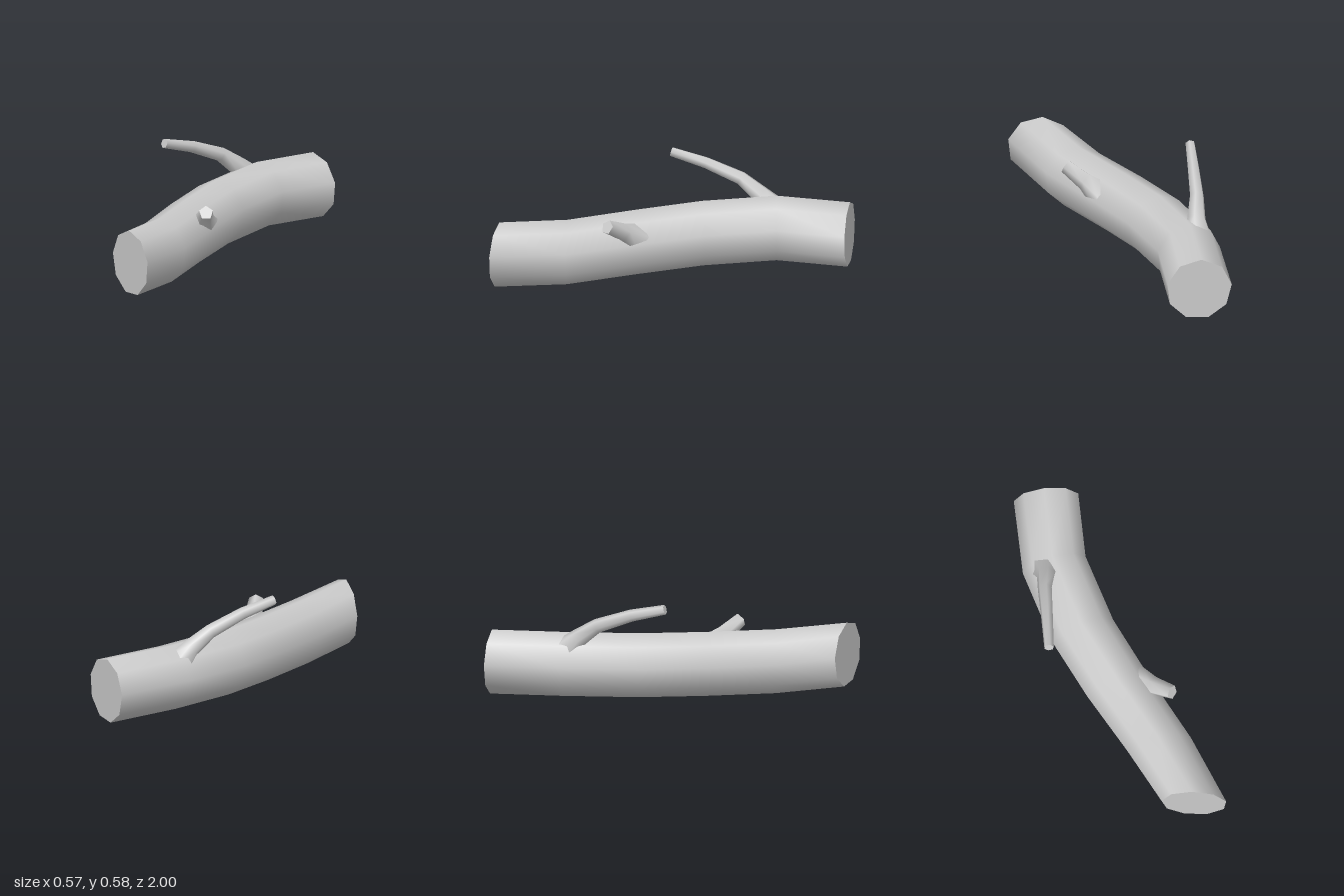
import * as THREE from 'three';

const material = new THREE.MeshStandardMaterial({ color: 0xcccccc });

// Ring of points around a centre, at right angles to a direction
function ring(centre, direction, radius, sides, turn) {
  const d = direction.clone().normalize();
  const hint = Math.abs(d.y) > 0.9 ? new THREE.Vector3(0, 0, 1) : new THREE.Vector3(0, 1, 0);
  const u = new THREE.Vector3().crossVectors(hint, d).normalize();
  const v = new THREE.Vector3().crossVectors(d, u);
  return Array.from({ length: sides }, (_, i) => {
    const a = turn + (i / sides) * Math.PI * 2;
    return centre.clone().addScaledVector(u, Math.cos(a) * radius).addScaledVector(v, Math.sin(a) * radius);
  });
}

// Smooth skin through the rings, with flat end caps that keep sharp edges
function loft(name, rings, capStart = true) {
  const n = rings[0].length;
  const points = rings.flat();
  const index = [];
  for (let r = 0; r < rings.length - 1; r++) {
    for (let i = 0; i < n; i++) {
      const a = r * n + i, b = r * n + (i + 1) % n;
      index.push(a, b, b + n, a, b + n, a + n);
    }
  }
  const addCap = (loop, flip) => {
    const s = points.length;
    points.push(...loop);
    for (let i = 1; i < n - 1; i++) index.push(s, s + (flip ? i + 1 : i), s + (flip ? i : i + 1));
  };
  if (capStart) addCap(rings[0], true);
  addCap(rings[rings.length - 1], false);
  const geometry = new THREE.BufferGeometry().setFromPoints(points);
  geometry.setIndex(index);
  geometry.computeVertexNormals();
  const mesh = new THREE.Mesh(geometry, material);
  mesh.name = name;
  return mesh;
}

// Tapering branch; each entry is x, y, z, radius
function branch(name, path, sides, turn) {
  const p = path.map(([x, y, z]) => new THREE.Vector3(x, y, z));
  return loft(name, p.map((c, i) => {
    const direction = p[Math.min(i + 1, p.length - 1)].clone().sub(p[Math.max(i - 1, 0)]);
    return ring(c, direction, path[i][3], sides, turn);
  }), false);
}

export function createModel() {
  const group = new THREE.Group();
  group.name = 'log';

  // Bent trunk, back to front: x, y, z and the sideways slope of each section
  const trunk = [
    [0.12, 0.188, -0.945, 0.34],
    [0.0, 0.203, -0.578, 0.17],
    [-0.015, 0.193, -0.185, 0.08],
    [0.027, 0.182, 0.17, 0.12],
    [0.09, 0.172, 0.55, 0.24],
    [0.121, 0.192, 0.922, 0.5],
  ];
  group.add(loft('trunk', trunk.map(([x, y, z, slope]) =>
    ring(new THREE.Vector3(x, y, z), new THREE.Vector3(-slope, 0, 1), 0.173, 9, THREE.MathUtils.degToRad(14)))));

  // Long curved branch, flared where it leaves the trunk
  group.add(branch('longBranch', [
    [-0.055, 0.27, -0.58, 0.085],
    [-0.083, 0.362, -0.505, 0.05],
    [-0.133, 0.44, -0.41, 0.038],
    [-0.2, 0.512, -0.235, 0.032],
    [-0.267, 0.56, -0.062, 0.026],
  ], 6, 0.3));

  // Short broken stub
  group.add(branch('stub', [
    [0.12, 0.235, 0.19, 0.085],
    [0.18, 0.293, 0.27, 0.05],
    [0.248, 0.354, 0.365, 0.038],
  ], 5, 0.3));

  return group;
}
